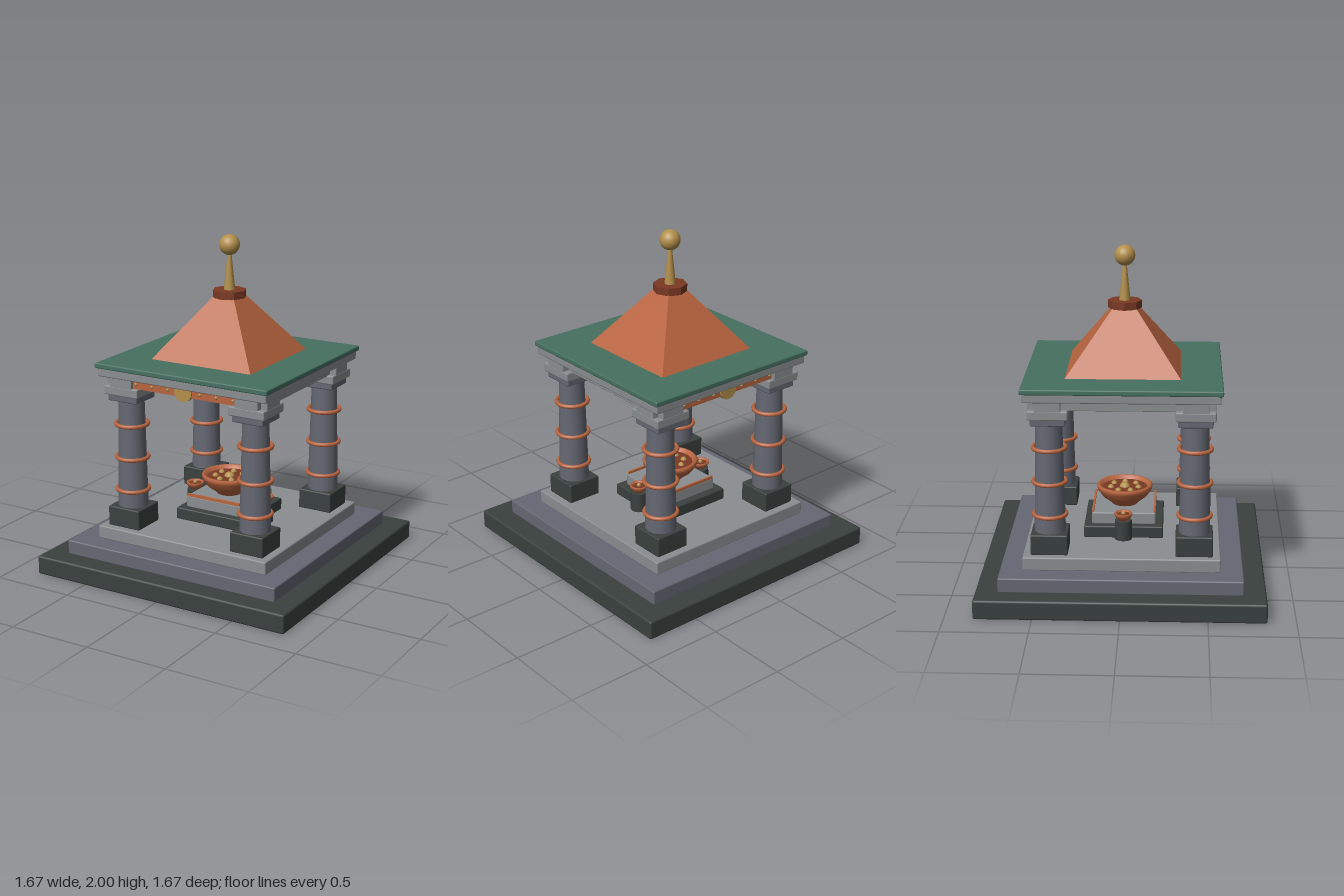
import * as THREE from 'three';
import { RoundedBoxGeometry } from 'three/addons/geometries/RoundedBoxGeometry.js';

const mat = (name, color, side = THREE.FrontSide) => {
  const m = new THREE.MeshStandardMaterial({ color, side });
  m.name = name;
  return m;
};

export function createModel() {
  const model = new THREE.Group();
  model.name = 'shrine';
  const dark = mat('dark stone', 0x39413f);
  const slate = mat('slate', 0x656873);
  const grey = mat('grey stone', 0x8a8e90);
  const green = mat('green patina', 0x467060);
  const copper = mat('copper', 0xb8643f, THREE.DoubleSide);
  const brown = mat('dark copper', 0x7a3823);
  const gold = mat('gold', 0xb38f4b);

  const add = (parent, name, geo, material, x = 0, y = 0, z = 0) => {
    const mesh = new THREE.Mesh(geo, material);
    mesh.name = name;
    mesh.position.set(x, y, z);
    parent.add(mesh);
    return mesh;
  };
  // Softly bevelled block standing between heights y0 and y1
  const block = (parent, name, w, y0, y1, d, material, x = 0, z = 0, r = 0.008) =>
    add(parent, name, new RoundedBoxGeometry(w, y1 - y0, d, 1, r), material, x, (y0 + y1) / 2, z);
  const drum = (parent, name, rTop, rBottom, y0, y1, sides, material, x = 0, z = 0) =>
    add(parent, name, new THREE.CylinderGeometry(rTop, rBottom, y1 - y0, sides), material, x, (y0 + y1) / 2, z);
  const lathe = (points, sides) =>
    new THREE.LatheGeometry(points.map(([r, y]) => new THREE.Vector2(r, y)), sides);

  // Stepped base
  block(model, 'lowerStep', 1.67, 0, 0.115, 1.67, dark, 0, 0, 0.012);
  block(model, 'middleStep', 1.41, 0.11, 0.198, 1.41, slate);
  block(model, 'upperStep', 1.146, 0.195, 0.275, 1.146, grey);

  // Four ringed columns
  for (const x of [-0.42, 0.42]) for (const z of [-0.42, 0.42]) {
    const column = new THREE.Group();
    column.name = 'column';
    column.position.set(x, 0, z);
    model.add(column);
    block(column, 'plinth', 0.216, 0.272, 0.395, 0.216, dark);
    drum(column, 'shaft', 0.077, 0.092, 0.39, 1.06, 16, slate);
    for (const y of [0.495, 0.695, 0.9]) {
      const ring = add(column, 'ring', new THREE.TorusGeometry(0.095, 0.0125, 8, 24), copper, 0, y, 0);
      ring.rotation.x = Math.PI / 2;
    }
    block(column, 'neck', 0.2, 1.05, 1.095, 0.2, slate);
    block(column, 'capital', 0.232, 1.09, 1.145, 0.232, grey);
  }

  // Crossing beams, cornice and roof slab
  for (const s of [-1, 1]) {
    block(model, 'crossBeam', 1.07, 1.138, 1.205, 0.15, grey, 0, s * 0.42, 0.005);
    block(model, 'sideBeam', 0.15, 1.138, 1.205, 1.07, grey, s * 0.42, 0, 0.005);
  }
  block(model, 'cornice', 1.122, 1.2, 1.255, 1.122, grey);
  block(model, 'roofSlab', 1.148, 1.25, 1.282, 1.148, green);

  // Friezes with studs and a medallion, front and back
  for (const s of [-1, 1]) {
    const frieze = new THREE.Group();
    frieze.name = 'frieze';
    frieze.rotation.y = s > 0 ? 0 : Math.PI;
    model.add(frieze);
    add(frieze, 'friezePanel', new THREE.BoxGeometry(0.69, 0.055, 0.02), copper, 0, 1.172, 0.502);
    for (const x of [-0.325, -0.215, -0.107, 0.107, 0.215, 0.325])
      add(frieze, 'stud', new THREE.SphereGeometry(0.01, 8, 6), gold, x, 1.172, 0.512);
    const medal = add(frieze, 'medallion', new THREE.CylinderGeometry(0.058, 0.058, 0.03, 20), gold, 0, 1.176, 0.507);
    medal.rotation.x = Math.PI / 2;
  }

  // Pyramid roof, collar and finial
  const spire = new THREE.CylinderGeometry(0.07 * Math.SQRT2, 0.335 * Math.SQRT2, 0.355, 4).toNonIndexed();
  spire.rotateY(Math.PI / 4);
  spire.computeVertexNormals();
  add(model, 'roof', spire, copper, 0, 1.4575, 0);
  const collar = new THREE.CylinderGeometry(0.1, 0.1, 0.045, 8).toNonIndexed();
  collar.computeVertexNormals();
  add(model, 'collar', collar, brown, 0, 1.652, 0);
  drum(model, 'finialSpike', 0.01, 0.034, 1.67, 1.9, 12, gold);
  add(model, 'finialBall', new THREE.SphereGeometry(0.061, 20, 14), gold, 0, 1.939, 0);

  // Altar
  block(model, 'altarBase', 0.47, 0.272, 0.345, 0.47, dark);
  block(model, 'altarTop', 0.38, 0.342, 0.415, 0.38, grey);
  for (const s of [-1, 1])
    add(model, 'altarTrim', new THREE.BoxGeometry(0.36, 0.018, 0.012), copper, 0, 0.421, s * 0.184);

  // Fire bowl with embers
  add(model, 'fireBowl', lathe([[0, 0.413], [0.075, 0.413], [0.09, 0.43], [0.135, 0.465], [0.165, 0.508],
    [0.169, 0.528], [0.162, 0.537], [0.15, 0.537], [0.135, 0.515]], 24), copper);
  drum(model, 'emberBed', 0.138, 0.12, 0.49, 0.517, 20, brown);
  add(model, 'centreEmber', new THREE.SphereGeometry(0.034, 10, 8), gold, 0, 0.51, 0);
  for (let i = 0; i < 7; i++) {
    const a = (i / 7) * Math.PI * 2;
    add(model, 'ember', new THREE.SphereGeometry(0.02, 8, 6), gold, Math.cos(a) * 0.085, 0.515, Math.sin(a) * 0.085);
  }

  // Side lamps
  for (const x of [-0.245, 0.245]) {
    drum(model, 'lampStand', 0.05, 0.052, 0.272, 0.392, 16, dark, x);
    add(model, 'lampBowl', lathe([[0, 0.388], [0.022, 0.388], [0.045, 0.41], [0.056, 0.43],
      [0.052, 0.438], [0.044, 0.436], [0.036, 0.426]], 16), copper, x);
    drum(model, 'lampOil', 0.04, 0.03, 0.415, 0.43, 14, brown, x);
    add(model, 'lampFlame', new THREE.SphereGeometry(0.014, 8, 6), gold, x, 0.434, 0);
  }
  return model;
}
